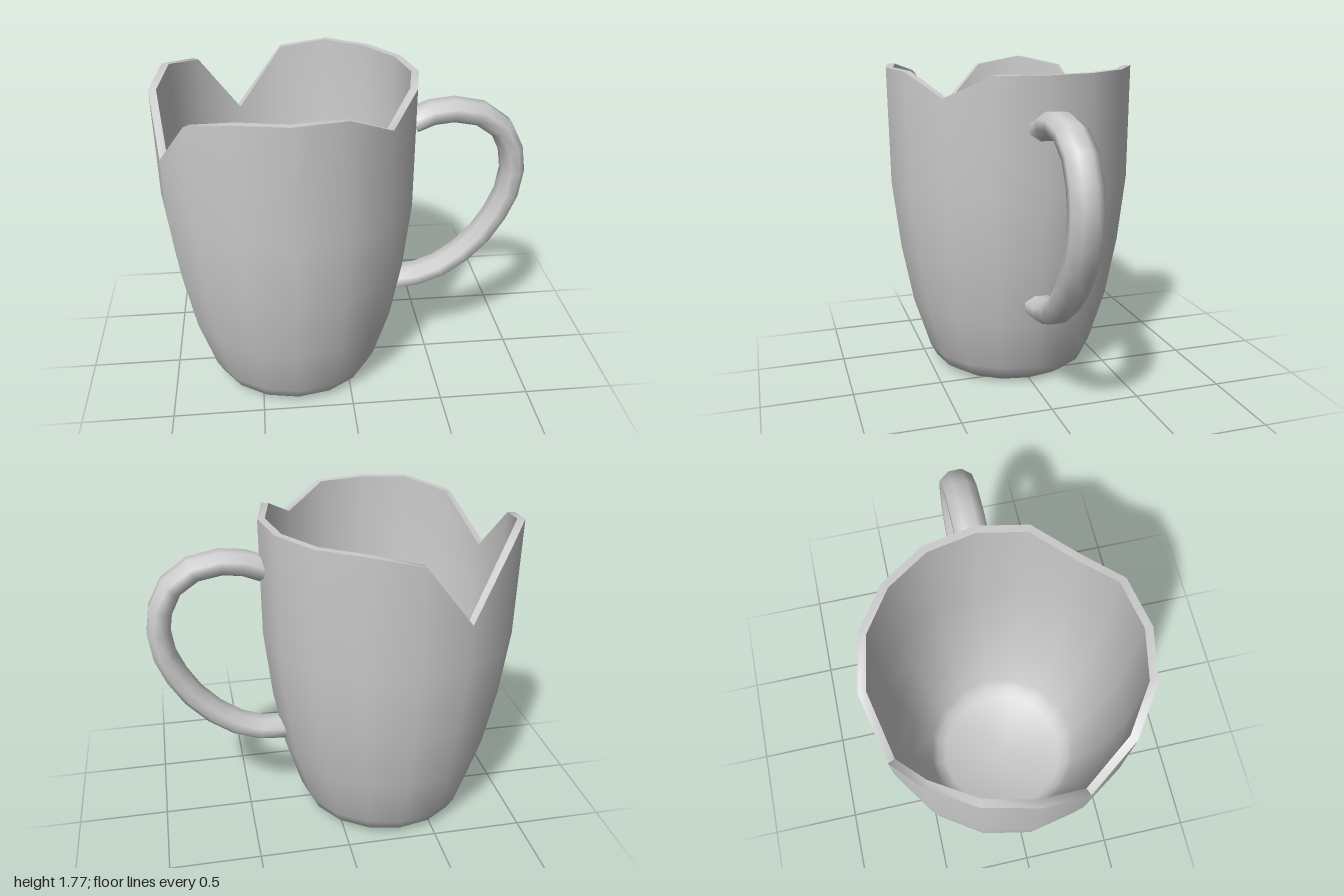
import * as THREE from 'three';
import { toCreasedNormals } from 'three/addons/utils/BufferGeometryUtils.js';

const SIDES = 16;
const RIM = 1.77;
const v2 = ([x, y]) => new THREE.Vector2(x, y);

// Rim heights of the broken corners, by column counted from +z towards +x
const chips = { 2: 1.65, 8: 1.72, 9: 1.38, 10: 1.72, 12: 1.72, 13: 1.45, 14: 1.71 };

// Closed cup wall: outside going up, over the rim, inside going down to the floor
function cupGeometry() {
  const outer = [[0, 0], [0.395, 0], [0.455, 0.04], [0.492, 0.11], [0.585, 0.41],
    [0.648, 0.75], [0.69, 1.13], [0.695, RIM]];
  const inner = [[0.655, RIM], [0.65, 1.13], [0.608, 0.75], [0.545, 0.42],
    [0.454, 0.13], [0.42, 0.075], [0.37, 0.045], [0, 0.04]];
  const profile = [...outer, ...inner];
  const geo = new THREE.LatheGeometry(profile.map(v2), SIDES);
  const pos = geo.attributes.position;
  for (let i = 0; i < pos.count; i++) {
    const column = Math.floor(i / profile.length) % SIDES;
    if (profile[i % profile.length][1] === RIM && chips[column]) pos.setY(i, chips[column]);
  }
  return toCreasedNormals(geo, 1);
}

// Oval tube swept along a bent path in the xy plane, closed at both ends
function handleGeometry() {
  const path = [[0.37, 1.5], [0.47, 1.54], [0.59, 1.553], [0.735, 1.525], [0.855, 1.44],
    [0.918, 1.315], [0.938, 1.19], [0.918, 1.045], [0.865, 0.915], [0.785, 0.785],
    [0.675, 0.668], [0.55, 0.58], [0.42, 0.532], [0.285, 0.52]].map(v2);
  const n = 8, last = path.length - 1;
  const verts = [], index = [];
  path.forEach((p, i) => {
    const t = path[Math.min(i + 1, last)].clone().sub(path[Math.max(i - 1, 0)]).normalize();
    for (let j = 0; j < n; j++) {
      const a = ((j + 0.5) / n) * Math.PI * 2;
      const out = Math.cos(a) * 0.067, side = Math.sin(a) * 0.093;
      verts.push(p.x - t.y * out, p.y + t.x * out, side);
    }
  });
  for (let i = 0; i < last; i++) {
    for (let j = 0; j < n; j++) {
      const a = i * n + j, b = i * n + (j + 1) % n;
      index.push(a, b, a + n, b, b + n, a + n);
    }
  }
  for (let j = 1; j < n - 1; j++) {
    index.push(0, j + 1, j);
    index.push(last * n, last * n + j, last * n + j + 1);
  }
  const geo = new THREE.BufferGeometry();
  geo.setAttribute('position', new THREE.Float32BufferAttribute(verts, 3));
  geo.setIndex(index);
  return toCreasedNormals(geo, 1);
}

export function createModel() {
  const group = new THREE.Group();
  group.name = 'brokenMug';
  const material = new THREE.MeshStandardMaterial({ color: 0xcccccc });

  const cup = new THREE.Mesh(cupGeometry(), material);
  cup.name = 'cup';
  cup.position.x = -0.305;

  // Winding is kept safe on the thin swept tube
  const handle = new THREE.Mesh(handleGeometry(), new THREE.MeshStandardMaterial({ color: 0xcccccc }));
  handle.name = 'handle';

  group.add(cup, handle);
  return group;
}
